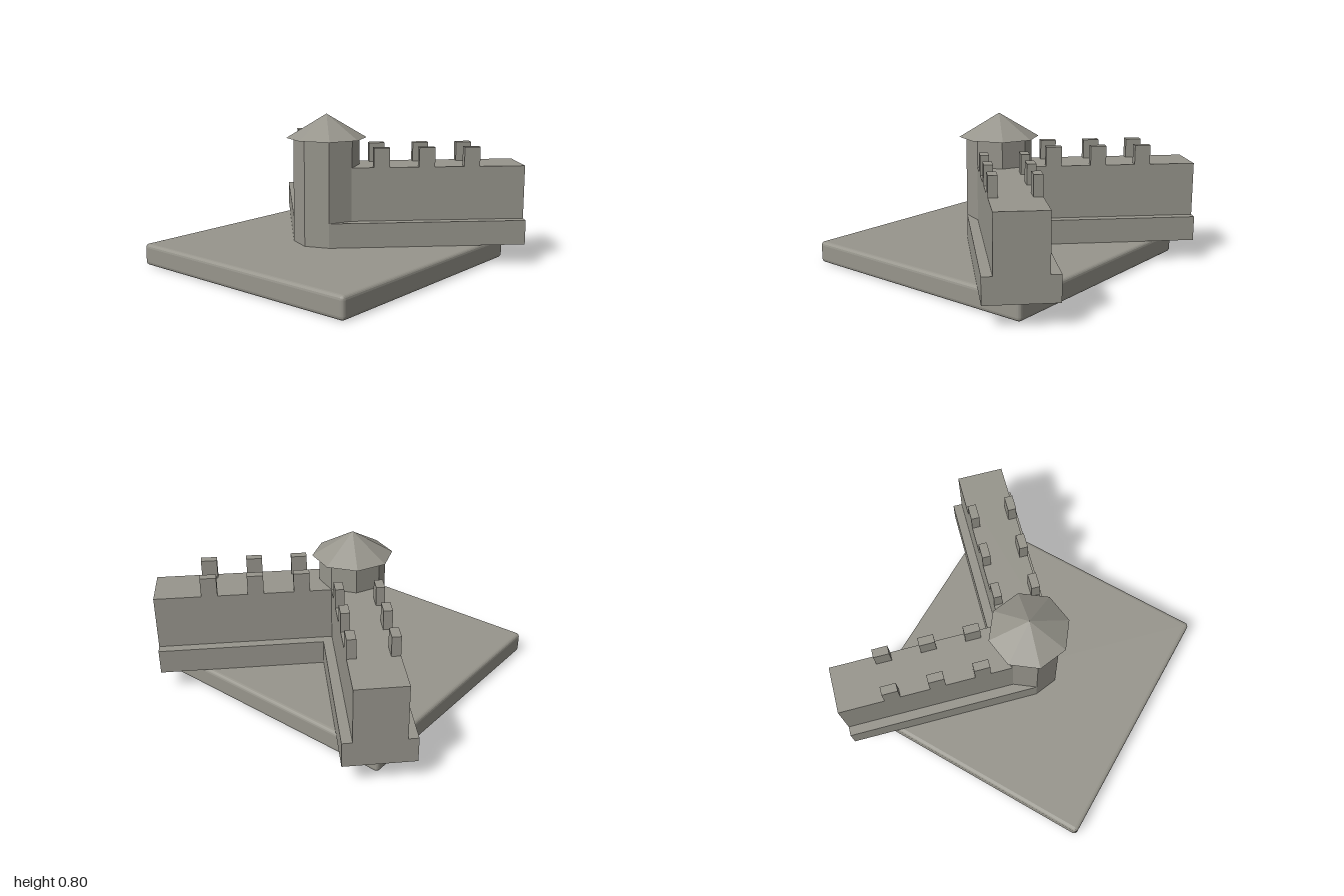
import * as THREE from 'three';
import { RoundedBoxGeometry } from 'three/addons/geometries/RoundedBoxGeometry.js';

const stone = new THREE.MeshStandardMaterial({ color: 0x97958c, flatShading: true });
stone.name = 'stone';

const GROUND = 0.115; // top of the slab
const LENGTH = 1.037; // wall length from the tower axis

function part(name, geometry, x, y, z) {
  const mesh = new THREE.Mesh(geometry, stone);
  mesh.name = name;
  mesh.position.set(x, y, z);
  return mesh;
}

// box spanning x0..x1 and y0..y1, centred on z
function block(name, x0, x1, y0, y1, depth, z = 0) {
  const geometry = new THREE.BoxGeometry(x1 - x0, y1 - y0, depth);
  return part(name, geometry, (x0 + x1) / 2, (y0 + y1) / 2, z);
}

// stepped wall running along +x, with paired merlons on its edges
function createWall(name) {
  const wall = new THREE.Group();
  wall.name = name;
  wall.add(block('wallFooting', 0, LENGTH, GROUND, 0.245, 0.35));
  wall.add(block('wallBody', 0, LENGTH, 0.245, 0.528, 0.25));
  for (let i = 0; i < 3; i++) {
    const x = 0.237 + i * 0.238;
    for (const side of [-1, 1]) {
      wall.add(block('merlon', x, x + 0.083, 0.528, 0.63, 0.045, side * 0.1025));
    }
  }
  return wall;
}

export function createModel() {
  const model = new THREE.Group();
  model.name = 'castleCorner';

  // ground slab turned to a diamond, with softened edges
  const slab = part('groundSlab', new RoundedBoxGeometry(1.37, GROUND, 1.37, 2, 0.02), 0, GROUND / 2, 0);
  slab.rotation.y = Math.PI / 4;
  model.add(slab);

  // two walls meeting at the tower
  const backWall = createWall('backWall');
  backWall.rotation.y = Math.PI / 2;
  model.add(createWall('leftWall'), backWall);

  // octagonal tower and its pointed roof
  const towerHeight = 0.672 - GROUND;
  model.add(part('tower', new THREE.CylinderGeometry(0.175, 0.175, towerHeight, 8), 0, GROUND + towerHeight / 2, 0));
  model.add(part('towerRoof', new THREE.ConeGeometry(0.212, 0.126, 8), 0, 0.672 + 0.063, 0));

  model.position.set(-0.037, 0, 0.037);
  const root = new THREE.Group();
  root.name = 'model';
  root.add(model);
  return root;
}
